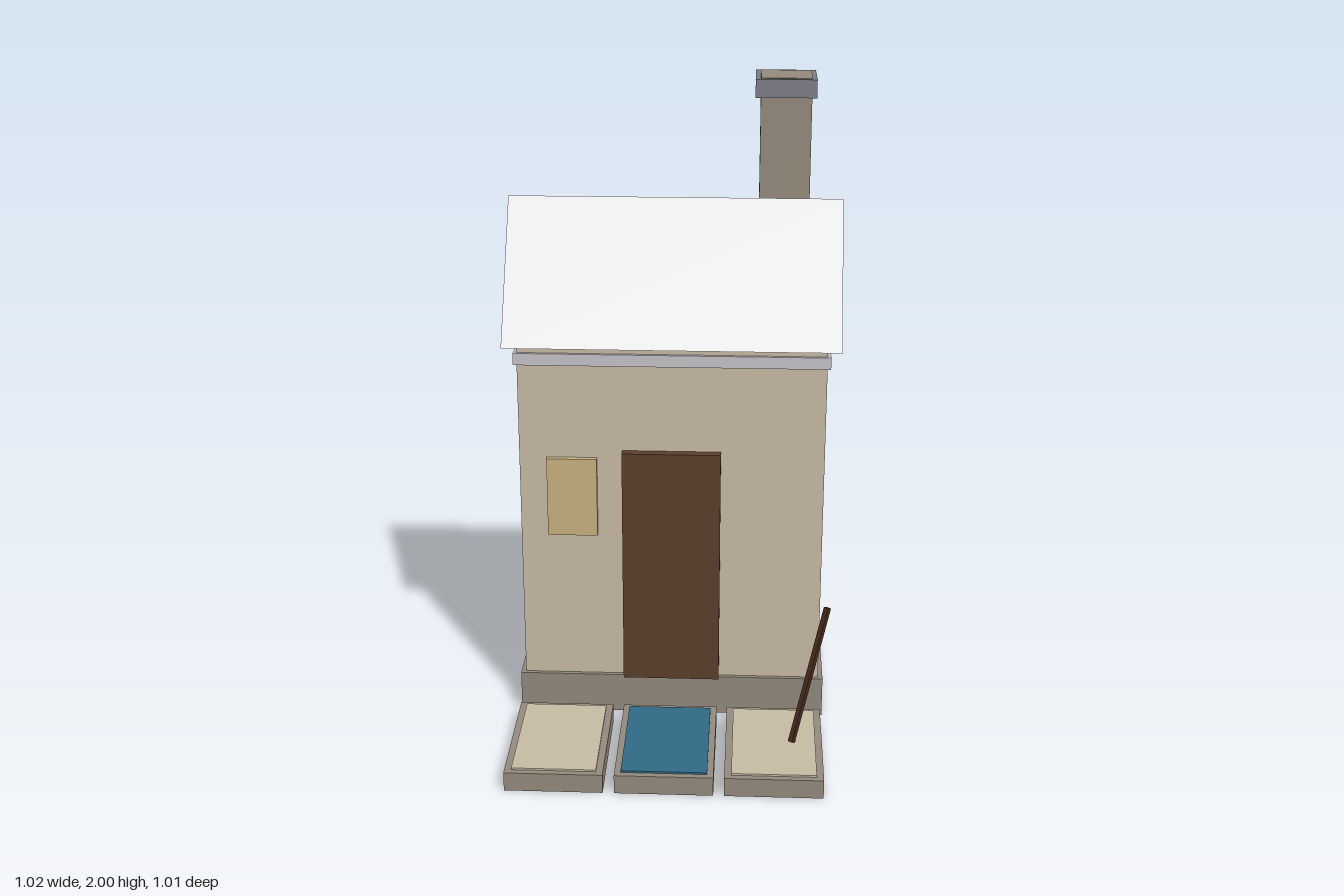
import * as THREE from 'three';

const mat = (name, color, side = THREE.FrontSide) => {
  const m = new THREE.MeshStandardMaterial({ color, side });
  m.name = name;
  return m;
};

export function createModel() {
  const group = new THREE.Group();
  group.name = 'smallHouse';

  const plaster = mat('plaster', 0xc8bca4);
  const stone = mat('stone', 0x928a7e);
  const chimneyStone = mat('chimneyStone', 0x968b7d);
  const trim = mat('trim', 0xc8c4cb);
  const roofPale = mat('roofPale', 0xdedede, THREE.DoubleSide);
  const capGrey = mat('capGrey', 0x7e7e88);
  const doorWood = mat('doorWood', 0x5c3f2c);
  const darkWood = mat('darkWood', 0x452a1a);
  const amber = mat('amber', 0xcab280);
  const water = mat('water', 0x316a86);

  // Box given by its extents along each axis
  const box = (name, material, [x0, x1], [y0, y1], [z0, z1]) => {
    const mesh = new THREE.Mesh(new THREE.BoxGeometry(x1 - x0, y1 - y0, z1 - z0), material);
    mesh.position.set((x0 + x1) / 2, (y0 + y1) / 2, (z0 + z1) / 2);
    mesh.name = name;
    group.add(mesh);
    return mesh;
  };

  // House body
  box('plinth', stone, [-0.485, 0.485], [0, 0.13], [-0.475, 0.013]);
  box('walls', plaster, [-0.47, 0.47], [0.13, 1.235], [-0.46, 0]);
  box('cornice', trim, [-0.48, 0.48], [1.175, 1.212], [-0.47, 0.01]);
  box('door', doorWood, [-0.152, 0.152], [0.13, 0.9], [0, 0.03]);
  box('window', amber, [-0.385, -0.23], [0.62, 0.875], [0, 0.018]);

  // Gabled roof shell, open underneath
  const w = 0.512, y0 = 1.235, y1 = 1.64, front = 0.034, back = -0.508, ridge = -0.237;
  const A = [-w, y0, front], B = [w, y0, front], C = [w, y0, back], D = [-w, y0, back];
  const E = [-w, y1, ridge], F = [w, y1, ridge];
  const tris = [A, B, F, A, F, E, C, D, E, C, E, F, B, C, F, D, A, E];
  const roofGeo = new THREE.BufferGeometry();
  roofGeo.setAttribute('position', new THREE.Float32BufferAttribute(tris.flat(), 3));
  roofGeo.computeVertexNormals();
  const roof = new THREE.Mesh(roofGeo, roofPale);
  roof.name = 'roof';
  group.add(roof);

  // Chimney, showing through the top of its cap
  box('chimney', chimneyStone, [0.256, 0.41], [1.235, 2], [-0.415, -0.26]);
  box('chimneyCap', capGrey, [0.24, 0.424], [1.943, 1.998], [-0.43, -0.247]);

  // Three framed beds in front of the door
  const beds = [
    ['leftBed', 0.328, 0.148, 0.127, plaster],
    ['middleBed', 0, 0.148, 0.129, water],
    ['rightBed', -0.33, 0.148, 0.127, plaster],
  ];
  for (const [name, x, half, inner, fill] of beds) {
    box(name + 'Frame', chimneyStone, [x - half, x + half], [0, 0.06], [0.082, 0.506]);
    box(name + 'Fill', fill, [x - inner, x + inner], [0.058, 0.066], [0.101, 0.487]);
  }

  // Leaning pole
  const p = new THREE.Vector3(0.382, 0.072, 0.305), q = new THREE.Vector3(0.485, 0.465, 0.175);
  const pole = new THREE.Mesh(new THREE.BoxGeometry(0.016, 0.016, p.distanceTo(q)), darkWood);
  pole.position.copy(p).lerp(q, 0.5);
  pole.lookAt(q);
  pole.name = 'pole';
  group.add(pole);

  return group;
}
